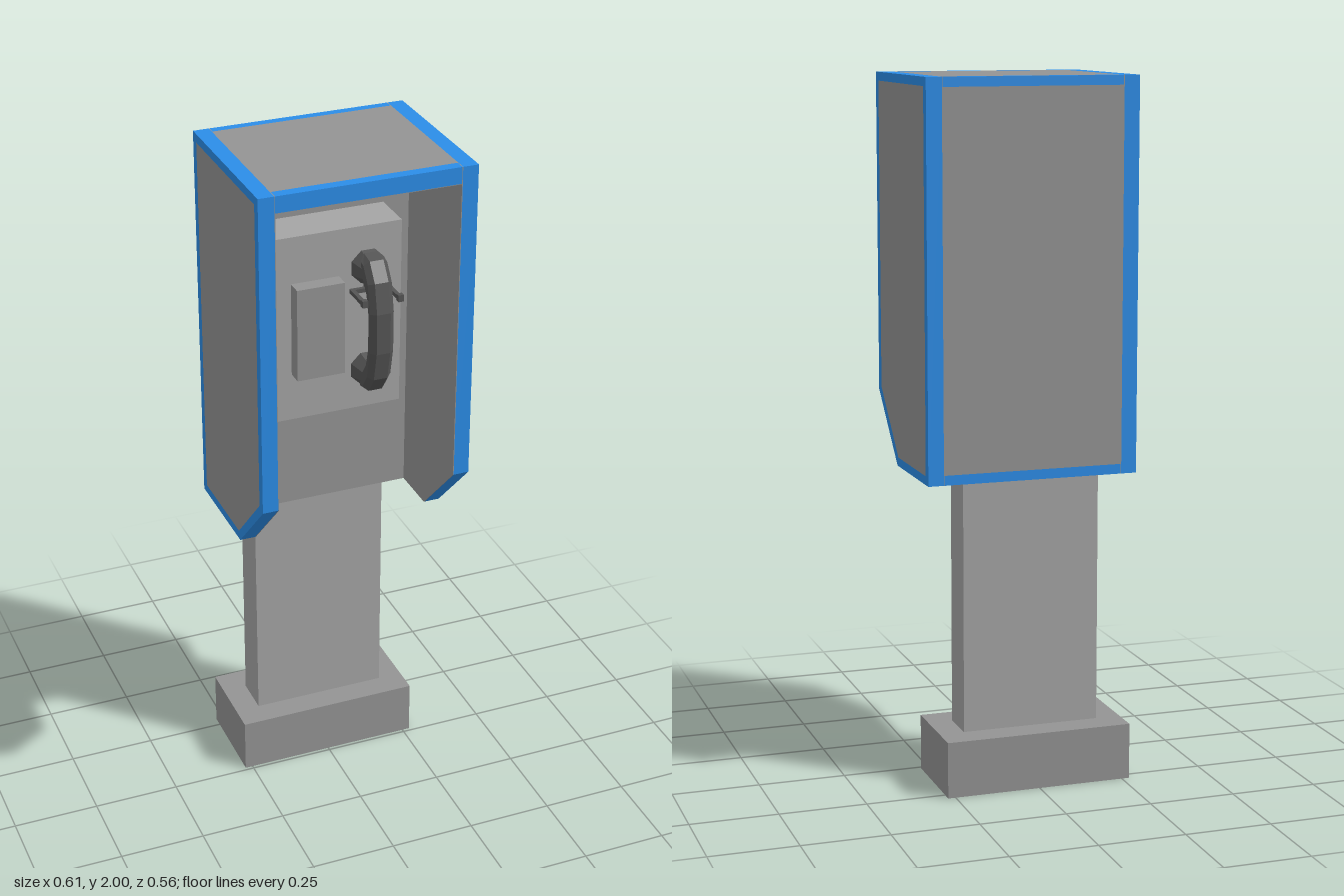
import * as THREE from 'three';

const paint = (color) => new THREE.MeshStandardMaterial({ color, flatShading: true });
const grey = paint(0x949494);
const lightGrey = paint(0xa5a5a5);
const blue = paint(0x2b8de8);
const dark = paint(0x555555);

export function createModel() {
  const root = new THREE.Group();
  root.name = 'payphoneBooth';

  const add = (name, geometry, material, parent = root) => {
    const mesh = new THREE.Mesh(geometry, material);
    mesh.name = name;
    parent.add(mesh);
    return mesh;
  };

  const group = (name, parent = root) => {
    const g = new THREE.Group();
    g.name = name;
    parent.add(g);
    return g;
  };

  // Box given by its min and max on each axis
  const box = (name, [x0, x1], [y0, y1], [z0, z1], material, parent) => {
    const g = new THREE.BoxGeometry(x1 - x0, y1 - y0, z1 - z0);
    g.translate((x0 + x1) / 2, (y0 + y1) / 2, (z0 + z1) / 2);
    return add(name, g, material, parent);
  };

  // Side profile of [z, y] points, extruded along x from x0 to x1
  const toVectors = (points) => points.map(([z, y]) => new THREE.Vector2(z, y));
  const side = (name, points, [x0, x1], material, parent, { bevel = 0, hole } = {}) => {
    const shape = new THREE.Shape(toVectors(points));
    if (hole) shape.holes.push(new THREE.Path(toVectors(hole)));
    const g = new THREE.ExtrudeGeometry(shape, {
      depth: x1 - x0 - 2 * bevel, bevelEnabled: bevel > 0, bevelSegments: 1,
      bevelSize: bevel, bevelThickness: bevel, bevelOffset: -bevel,
    });
    g.rotateY(-Math.PI / 2);
    g.translate(x1 - bevel, 0, 0);
    return add(name, g, material, parent);
  };

  // Stand
  box('base', [-0.272, 0.272], [0, 0.162], [-0.28, -0.01], grey);
  box('post', [-0.2, 0.2], [0.162, 0.884], [-0.2, -0.085], lightGrey);

  // Hood sides: a blue frame with a flush grey panel and a grey inner lining
  const hood = group('hood');
  const wall = [[-0.222, 0.884], [0.088, 0.884], [0.279, 1.077], [0.279, 2], [-0.222, 2]];
  const inset = [[-0.197, 0.909], [0.078, 0.909], [0.253, 1.088], [0.253, 1.975], [-0.197, 1.975]];
  for (const [s, label] of [[1, 'left'], [-1, 'right']]) {
    const span = (a, b) => (s > 0 ? [a, b] : [-b, -a]);
    side(label + 'Frame', wall, span(0.262, 0.307), blue, hood, { hole: inset });
    side(label + 'Panel', inset, span(0.262, 0.307), grey, hood);
    side(label + 'Lining', wall, span(0.26, 0.262), grey, hood);
  }

  // Roof: edge strips, flush panel and ceiling
  const inside = [-0.26, 0.26];
  box('roofFrontEdge', inside, [1.953, 2], [0.248, 0.279], blue, hood);
  box('roofRearEdge', inside, [1.973, 2], [-0.222, -0.197], blue, hood);
  box('roofPanel', inside, [1.953, 2], [-0.197, 0.248], grey, hood);
  box('ceiling', inside, [1.951, 1.953], [-0.06, 0.278], grey, hood);

  // Thick back with a flush rear panel and a blue strip below it
  box('rearPanel', inside, [0.912, 1.973], [-0.222, -0.2], grey, hood);
  box('rearBottomEdge', inside, [0.884, 0.912], [-0.222, -0.2], blue, hood);
  box('backBlock', inside, [0.884, 1.953], [-0.2, -0.06], grey, hood);

  // Telephone body and its raised plate
  const phone = group('telephone');
  box('phoneBody', [-0.185, 0.183], [1.23, 1.78], [-0.06, 0.07], lightGrey, phone);
  box('dialPlate', [-0.14, -0.001], [1.37, 1.643], [0.07, 0.115], grey, phone);

  // Handset: crescent handle from an outer and an inner arc
  const handset = group('handset', phone);
  const centreX = 0.082;
  const mid = 1.507;
  const outer = [[0.095, 0.204], [0.135, 0.196], [0.172, 0.145], [0.19, 0.06]];
  const inner = [[0.15, 0.05], [0.136, 0.1], [0.11, 0.135], [0.095, 0.135]];
  const up = ([z, y]) => [z, mid + y];
  const down = ([z, y]) => [z, mid - y];
  const crescent = [
    ...outer.map(up), ...[...outer].reverse().map(down),
    ...[...inner].reverse().map(down), ...inner.map(up),
  ];
  side('handle', crescent, [centreX - 0.035, centreX + 0.035], dark, handset, { bevel: 0.015 });

  // Earpiece and mouthpiece
  for (const [s, name] of [[1, 'earpiece'], [-1, 'mouthpiece']]) {
    const g = new THREE.CylinderGeometry(0.036, 0.052, 0.05, 8);
    g.rotateY(Math.PI / 8);
    g.rotateX(Math.PI / 2);
    add(name, g, dark, handset).position.set(centreX, mid + s * 0.155, 0.1);
  }

  // Forked cradle holding the handset
  const cradle = group('cradle', phone);
  box('cradleBar', [0.024, 0.14], [1.595, 1.607], [0.085, 0.097], dark, cradle);
  box('cradleStem', [0.072, 0.092], [1.59, 1.612], [0.07, 0.09], dark, cradle);
  for (const x of [centreX - 0.052, centreX + 0.052]) {
    box('cradleProng', [x - 0.006, x + 0.006], [1.595, 1.607], [0.097, 0.17], dark, cradle);
    box('cradleTip', [x - 0.008, x + 0.008], [1.593, 1.613], [0.17, 0.185], dark, cradle);
  }

  return root;
}
